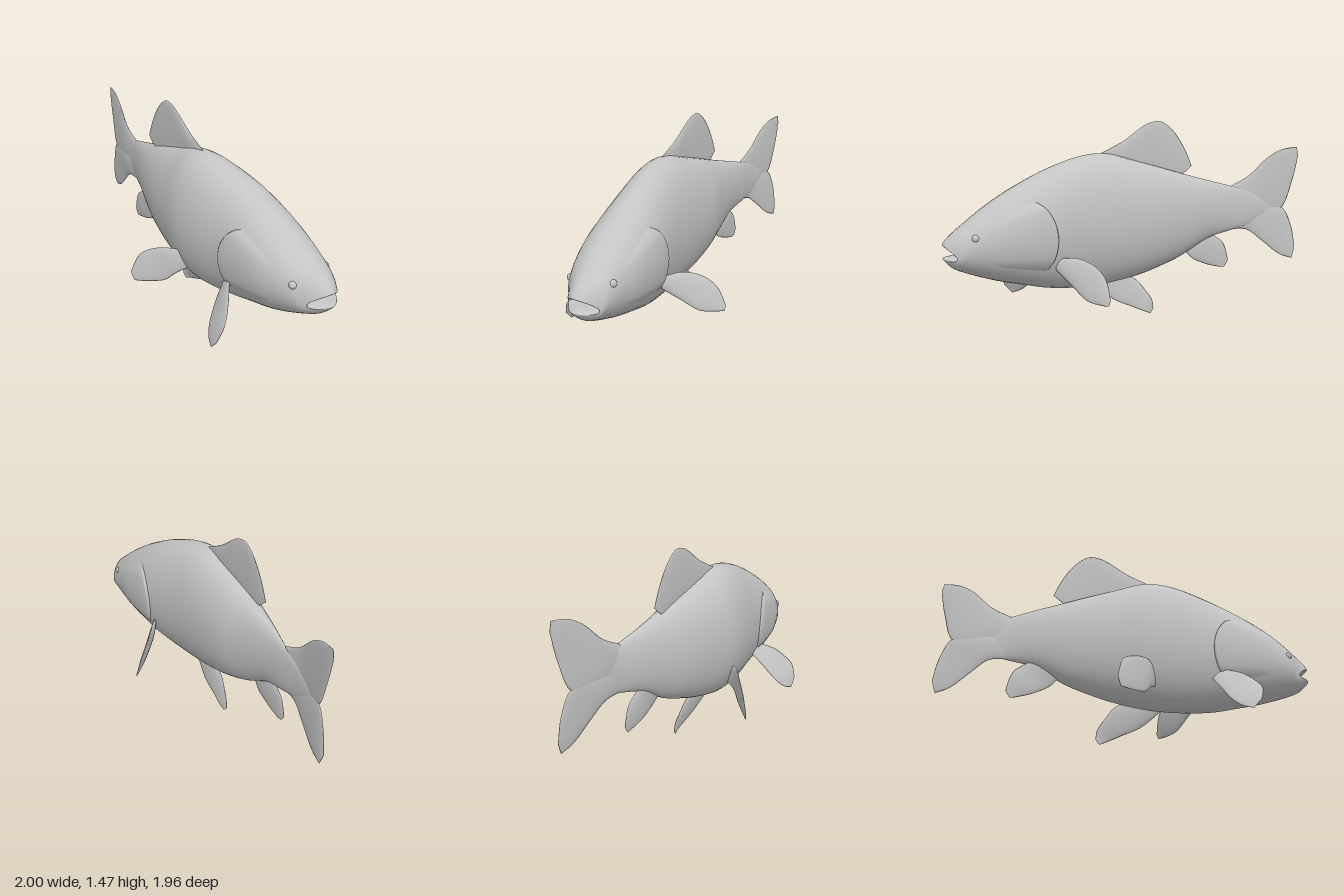
import * as THREE from 'three';

const grey = new THREE.MeshStandardMaterial({ color: 0xc4c4c4 });
grey.name = 'plain grey';

// Swimming axis runs diagonally: u = along the body, v = across it
const place = (u, v, y) => new THREE.Vector3((u - v) / Math.SQRT2, y, (u + v) / Math.SQRT2);

// Smoothly resamples rows of numbers, steps samples per span
function resample(rows, steps) {
  const out = [], n = rows.length;
  const row = (i) => rows[Math.min(n - 1, Math.max(0, i))];
  for (let i = 0; i < n - 1; i++) {
    for (let k = 0; k < steps; k++) {
      const t = k / steps;
      out.push(row(i).map((b, c) => {
        const a = row(i - 1)[c], d = row(i + 1)[c], e = row(i + 2)[c];
        return b + 0.5 * t * (d - a + t * (2 * a - 5 * b + 4 * d - e + t * (3 * (b - d) + e - a)));
      }));
    }
  }
  out.push(rows[n - 1]);
  return out;
}

// Skins closed rings, caps both ends and faces the result outward
function loft(name, rings) {
  const n = rings[0].length, pts = rings.flat(), index = [];
  for (let i = 0; i < rings.length - 1; i++) {
    for (let j = 0; j < n; j++) {
      const a = i * n + j, b = i * n + (j + 1) % n;
      index.push(a, b, a + n, b, b + n, a + n);
    }
  }
  [0, rings.length - 1].forEach((r, end) => {
    const centre = new THREE.Vector3();
    rings[r].forEach((p) => centre.addScaledVector(p, 1 / n));
    pts.push(centre);
    const c = pts.length - 1;
    for (let j = 0; j < n; j++) {
      const a = r * n + j, b = r * n + (j + 1) % n;
      if (end) index.push(a, b, c); else index.push(b, a, c);
    }
  });
  let volume = 0;
  const cross = new THREE.Vector3();
  for (let i = 0; i < index.length; i += 3) {
    volume += pts[index[i]].dot(cross.crossVectors(pts[index[i + 1]], pts[index[i + 2]]));
  }
  if (volume < 0) index.reverse();
  const geometry = new THREE.BufferGeometry().setFromPoints(pts);
  geometry.setIndex(index);
  geometry.computeVertexNormals();
  const mesh = new THREE.Mesh(geometry, grey);
  mesh.name = name;
  return mesh;
}

// Body stations: u, centre v, half width, bottom y, top y, setback of the sides
const stations = resample([
  [-1.22, 0.052, 0.004, 0.76, 0.83, 0],
  [-1.1, 0.06, 0.012, 0.72, 0.87, 0],
  [-1.0, 0.07, 0.021, 0.66, 0.93, 0],
  [-0.86, 0.08, 0.038, 0.62, 0.97, 0],
  [-0.67, 0.105, 0.078, 0.56, 1.02, 0],
  [-0.45, 0.12, 0.133, 0.43, 1.08, 0],
  [-0.28, 0.122, 0.178, 0.36, 1.13, 0],
  [-0.1, 0.128, 0.21, 0.3, 1.18, 0],
  [0.13, 0.135, 0.241, 0.25, 1.24, 0],
  [0.35, 0.114, 0.245, 0.24, 1.225, 0],
  [0.6, 0.07, 0.245, 0.265, 1.145, 0],
  [0.8, 0.048, 0.243, 0.31, 1.05, 0],
  [0.95, 0.035, 0.232, 0.345, 0.965, 0],
  [1.08, 0.02, 0.205, 0.385, 0.88, 0],
  [1.2, 0, 0.17, 0.43, 0.79, 0.01],
  [1.285, -0.015, 0.145, 0.47, 0.725, 0.05],
  [1.345, -0.018, 0.13, 0.525, 0.665, 0.09], // lips
  [1.35, -0.018, 0.122, 0.55, 0.635, 0.09],
  [1.26, -0.02, 0.09, 0.56, 0.625, 0.05], // mouth cavity
  [1.16, -0.02, 0.04, 0.57, 0.59, 0],
], 5);

// Point on a station's oval, lifted off the skin; mouth corners sit back and low
function skin([u, v, w, bottom, top, back], angle, lift = 0) {
  const s = Math.sin(angle), set = back * s * s;
  return place(u - set, v + (w + lift) * s,
    (top + bottom) / 2 + ((top - bottom) / 2 + lift) * Math.cos(angle) - 0.4 * set);
}

// Station at any u behind the lips
function stationAt(u) {
  const i = stations.findIndex((s) => s[0] > u), a = stations[i - 1], b = stations[i];
  const t = (u - a[0]) / (b[0] - a[0]);
  return a.map((x, c) => x + (b[c] - x) * t);
}

// Raised cheek and gill cover with a bowed rear edge
function gillCover(name, side) {
  const rings = [], n = 24;
  const lifts = [-0.01, 0.012, 0.02, 0.019, 0.017, 0.014, 0.011, 0.008, 0.004, 0, -0.006];
  lifts.forEach((lift, i) => {
    const outer = [], inner = [];
    for (let j = 0; j <= n; j++) {
      const f = j / n, angle = side * (0.82 + 1.5 * f);
      const bow = (f - 0.58) / 0.58;
      const edge = (side > 0 ? 0.6 : 0.56) + 0.2 * bow * bow;
      const along = i < 2 ? i * 0.012 : 0.03 + (i - 2) / 8 * 0.97;
      const station = stationAt(edge + (1.1 - edge) * along);
      const taper = Math.min(1, 5 * f, 5 * (1 - f));
      outer.push(skin(station, angle, -0.008 + (lift + 0.008) * taper));
      inner.unshift(skin(station, angle, -0.04));
    }
    rings.push([...outer, ...inner]);
  });
  return loft(name, rings);
}

// Fin from rows of two opposite edge points, with an oval section
function fin(name, thickness, rows) {
  const fine = resample(rows, 5), n = 16;
  const a = fine.map((r) => new THREE.Vector3(r[0], r[1], r[2]));
  const b = fine.map((r) => new THREE.Vector3(r[3], r[4], r[5]));
  const mid = a.map((p, i) => p.clone().lerp(b[i], 0.5));
  return loft(name, a.map((p, i) => {
    const along = mid[Math.min(i + 1, mid.length - 1)].clone().sub(mid[Math.max(i - 1, 0)]);
    const normal = p.clone().sub(b[i]).cross(along).normalize();
    const t = thickness * Math.min(1, 5 * p.distanceTo(b[i])) * (1 - 0.65 * i / (a.length - 1));
    return Array.from({ length: n }, (_, k) => {
      const angle = k / n * Math.PI * 2;
      return b[i].clone().lerp(p, (1 + Math.cos(angle)) / 2).addScaledVector(normal, t * Math.sin(angle));
    });
  }));
}

export function createModel() {
  const fish = new THREE.Group();
  fish.name = 'fish';

  // Body with open mouth
  const around = 40;
  fish.add(loft('body', stations.map((s) =>
    Array.from({ length: around }, (_, k) => skin(s, k / around * Math.PI * 2)))));

  // Gill covers and eyes
  for (const [label, side, u] of [['left', 1, 1.18], ['right', -1, 1.14]]) {
    fish.add(gillCover(label + 'GillCover', side));
    const eye = new THREE.Mesh(new THREE.SphereGeometry(0.028, 20, 14), grey);
    eye.name = label + 'Eye';
    eye.position.copy(skin(stationAt(u), side * 1.18, -0.014));
    fish.add(eye);
  }

  // Dorsal fin, in the body's upright plane
  fish.add(fin('dorsalFin', 0.018, [
    [0.02, 1.245, 0.02, 1.2], [-0.1, 1.33, -0.08, 1.15], [-0.2, 1.43, -0.17, 1.12],
    [-0.26, 1.47, -0.25, 1.1], [-0.32, 1.47, -0.32, 1.08], [-0.39, 1.39, -0.38, 1.06],
    [-0.45, 1.26, -0.42, 1.05], [-0.49, 1.13, -0.44, 1.07],
  ].map(([x, y, bx, by]) => [x, y, x + 0.2, bx, by, bx + 0.2])));

  // Forked tail
  fish.add(fin('upperTailLobe', 0.02, [
    [-0.66, 0.965, -0.54, -0.66, 0.76, -0.54],
    [-0.77, 1.05, -0.66, -0.8, 0.76, -0.69],
    [-0.85, 1.18, -0.77, -0.93, 0.78, -0.87],
    [-0.92, 1.25, -0.87, -0.975, 1.0, -0.945],
    [-0.99, 1.27, -0.97, -1, 1.2, -0.98],
  ]));
  fish.add(fin('lowerTailLobe', 0.02, [
    [-0.66, 0.625, -0.54, -0.66, 0.82, -0.54],
    [-0.76, 0.62, -0.65, -0.8, 0.82, -0.69],
    [-0.83, 0.53, -0.755, -0.93, 0.8, -0.87],
    [-0.91, 0.42, -0.87, -0.98, 0.65, -0.945],
    [-0.975, 0.38, -0.96, -1, 0.47, -0.975],
  ]));

  // Anal fin
  fish.add(fin('analFin', 0.022, [
    [-0.55, 0.62, -0.38, -0.42, 0.5, -0.24],
    [-0.61, 0.57, -0.45, -0.47, 0.41, -0.31],
    [-0.66, 0.51, -0.5, -0.55, 0.355, -0.39],
    [-0.685, 0.4, -0.525, -0.63, 0.325, -0.475],
    [-0.685, 0.36, -0.525, -0.665, 0.32, -0.505],
  ]));

  // Pectoral fins, each held differently
  fish.add(fin('leftPectoralFin', 0.02, [
    [0.28, 0.52, 0.64, 0.24, 0.46, 0.58],
    [0.3, 0.45, 0.8, 0.2, 0.35, 0.68],
    [0.305, 0.36, 0.91, 0.17, 0.23, 0.78],
    [0.29, 0.29, 0.965, 0.175, 0.16, 0.86],
    [0.25, 0.2, 0.975, 0.205, 0.13, 0.935],
  ]));
  fish.add(fin('rightPectoralFin', 0.025, [
    [0.49, 0.51, 0.34, 0.49, 0.43, 0.32],
    [0.46, 0.53, 0.18, 0.5, 0.33, 0.18],
    [0.455, 0.49, 0.03, 0.515, 0.25, 0.06],
    [0.475, 0.4, -0.08, 0.52, 0.23, -0.05],
    [0.51, 0.27, -0.135, 0.52, 0.23, -0.125],
  ]));

  // Pelvic fins
  fish.add(fin('leftPelvicFin', 0.02, [
    [-0.03, 0.47, 0.31, 0, 0.38, 0.29],
    [-0.18, 0.525, 0.355, -0.14, 0.33, 0.355],
    [-0.32, 0.505, 0.345, -0.24, 0.26, 0.37],
    [-0.43, 0.44, 0.345, -0.38, 0.235, 0.37],
    [-0.495, 0.3, 0.36, -0.47, 0.23, 0.365],
  ]));
  fish.add(fin('rightPelvicFin', 0.022, [
    [0, 0.36, 0.12, 0.12, 0.27, 0.25],
    [-0.12, 0.28, 0.01, 0.03, 0.14, 0.12],
    [-0.17, 0.18, -0.06, -0.07, 0.07, 0.01],
    [-0.195, 0.11, -0.1, -0.13, 0.03, -0.06],
    [-0.2, 0.04, -0.11, -0.175, 0.005, -0.095],
  ]));

  return fish;
}
